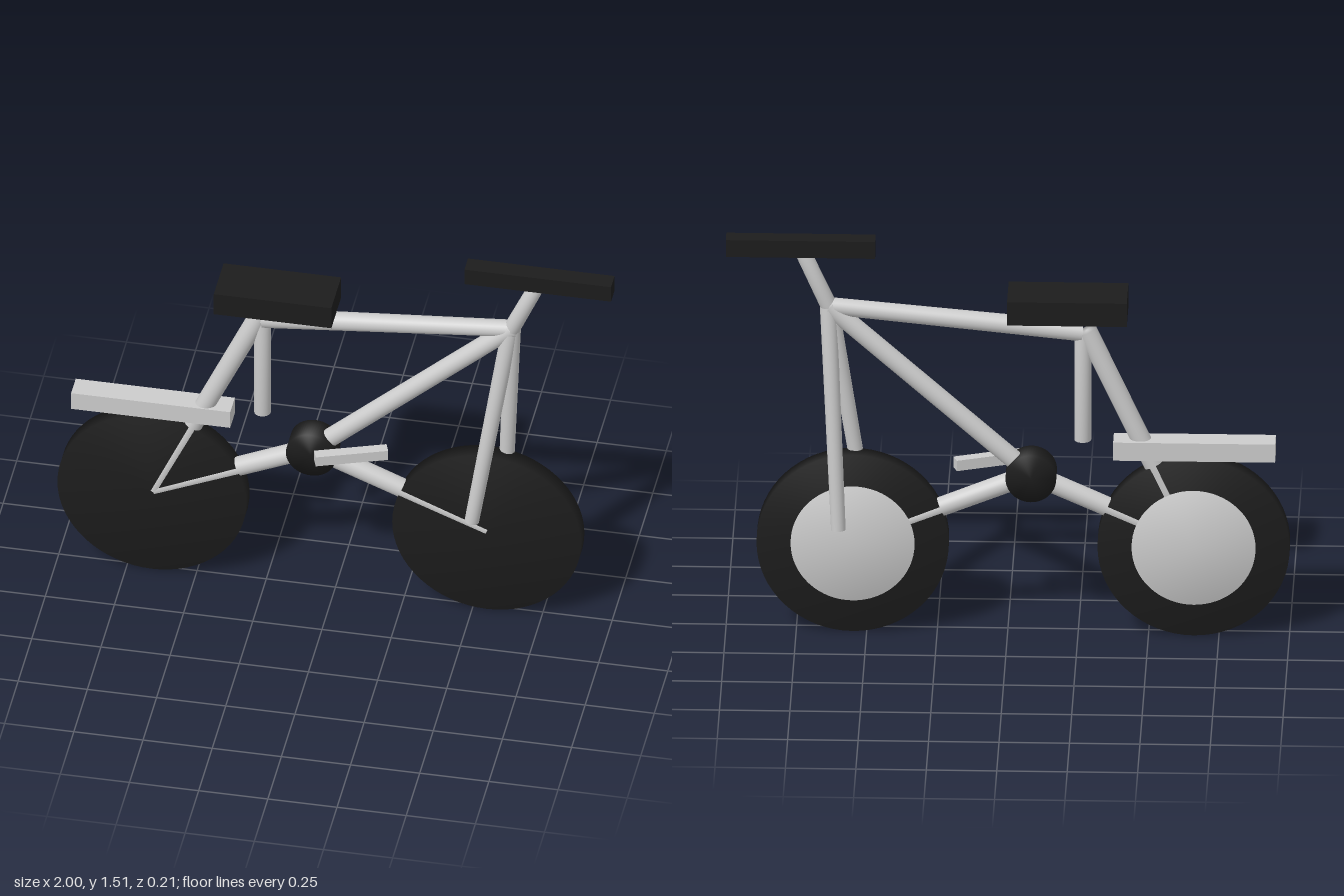
import * as THREE from 'three';
import { mergeVertices } from 'three/addons/utils/BufferGeometryUtils.js';

const Z = -0.012; // centre plane of the frame

export function createModel() {
  const model = new THREE.Group();
  model.name = 'bicycle';
  const grey = new THREE.MeshStandardMaterial({ color: 0xcccccc });
  const black = new THREE.MeshStandardMaterial({ color: 0x1c1c1c });

  const add = (name, geometry, material) => {
    const mesh = new THREE.Mesh(geometry, material);
    mesh.name = name;
    model.add(mesh);
    return mesh;
  };

  // Cylinder with normals blended softly over its rims
  const softCylinder = (rTop, rBottom, height, sides) => {
    let g = new THREE.CylinderGeometry(rTop, rBottom, height, sides);
    g.deleteAttribute('normal');
    g.deleteAttribute('uv');
    g = mergeVertices(g);
    g.computeVertexNormals();
    return g;
  };

  // Tube from point a to point b, with a radius at each end
  const tube = (name, a, b, ra, rb = ra) => {
    const start = new THREE.Vector3(...a);
    const end = new THREE.Vector3(...b);
    const dir = end.clone().sub(start);
    const mesh = add(name, softCylinder(rb, ra, dir.length(), 24), grey);
    mesh.position.copy(start).add(end).multiplyScalar(0.5);
    mesh.quaternion.setFromUnitVectors(new THREE.Vector3(0, 1, 0), dir.normalize());
  };

  // Disc whose axis runs along z
  const disc = (name, x, y, z, r, depth, material) => {
    const mesh = add(name, softCylinder(r, r, depth, 64), material);
    mesh.rotation.x = Math.PI / 2;
    mesh.position.set(x, y, z);
  };

  const box = (name, size, pos, material) => {
    const mesh = add(name, new THREE.BoxGeometry(...size), material);
    mesh.position.set(...pos);
    return mesh;
  };

  // Wheels, each with a hub plate on the far side
  for (const [side, x] of [['rear', -0.66], ['front', 0.55]]) {
    disc(side + 'Wheel', x, 0.341, Z, 0.341, 0.065, black);
    disc(side + 'HubPlate', x, 0.341, -0.025, 0.22, 0.05, grey);
  }

  // Frame tubes
  const crank = [-0.083, 0.604, Z];
  const head = [0.635, 1.247, Z];
  tube('topTube', [-0.265, 1.16, Z], head, 0.036, 0.031);
  tube('downTube', crank, head, 0.034);
  tube('seatTube', [-0.266, 0.74, Z], [-0.266, 1.16, Z], 0.03);
  tube('seatStay', [-0.28, 1.165, Z], [-0.655, 0.345, Z], 0.036, 0.034);
  tube('rearChainStay', crank, [-0.655, 0.345, Z], 0.036, 0.034);
  tube('frontStay', crank, [0.55, 0.345, Z], 0.036, 0.034);

  // Splayed fork legs and handlebar stem
  tube('leftForkLeg', [0.63, 1.245, Z + 0.003], [0.5, 0.4, 0.037], 0.03, 0.026);
  tube('rightForkLeg', [0.637, 1.245, Z - 0.003], [0.6, 0.4, -0.06], 0.03, 0.026);
  tube('stem', head, [0.728, 1.455, Z], 0.03, 0.028);

  // Handlebar, seat and rack
  box('handlebar', [0.53, 0.065, 0.066], [0.735, 1.478, Z], black);
  box('seat', [0.425, 0.09, 0.182], [-0.2125, 1.265, -0.014], black);
  box('rack', [0.575, 0.07, 0.086], [-0.6625, 0.715, -0.015], grey);

  // Crank housing and angled pedal arm
  disc('crankHousing', -0.083, 0.604, Z, 0.09, 0.09, black);
  box('pedalArm', [0.26, 0.04, 0.04], [0.065, 0.634, 0.043], grey).rotation.y = 0.34;

  return model;
}
